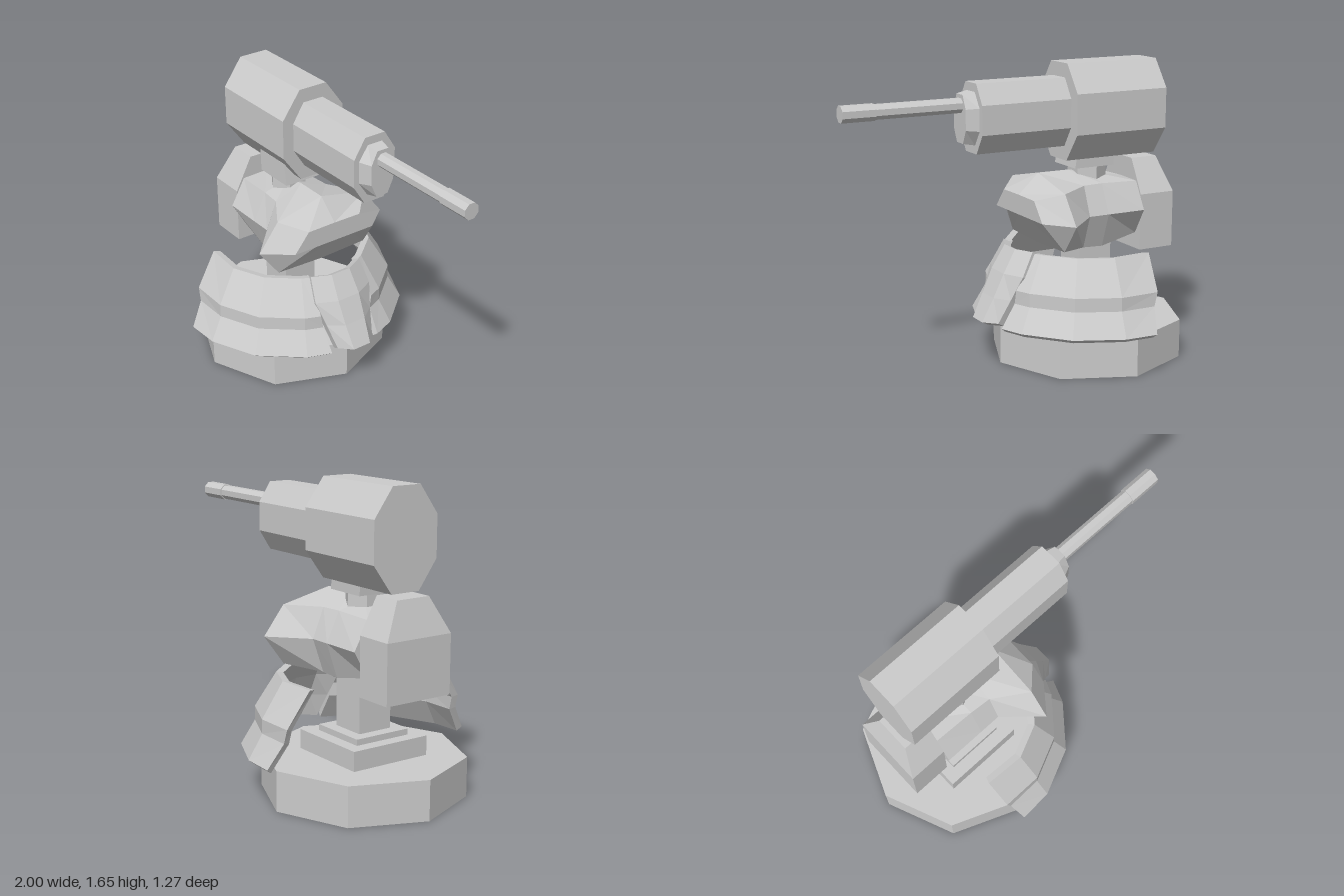
import * as THREE from 'three';

const material = new THREE.MeshStandardMaterial({ color: 0xcccccc, flatShading: true });

// Closed solid through a list of equal-length rings of [x, y, z], facing outwards.
function loft(rings) {
  const tris = [];
  const quad = (a, b, c, d) => tris.push([a, b, c], [a, c, d]);
  const n = rings[0].length;
  for (let r = 0; r < rings.length - 1; r++) {
    for (let i = 0; i < n; i++) {
      const j = (i + 1) % n;
      quad(rings[r][i], rings[r][j], rings[r + 1][j], rings[r + 1][i]);
    }
  }
  // caps are stitched across the ring, so thin bent sections work too
  const cap = (p, flip) => {
    for (let i = 0; i < n / 2 - 1; i++) {
      const q = [p[i], p[i + 1], p[n - 2 - i], p[n - 1 - i]];
      quad(...(flip ? q.reverse() : q));
    }
  };
  cap(rings[0], true);
  cap(rings[rings.length - 1], false);
  const v = (p) => new THREE.Vector3(...p);
  const volume = tris.reduce((s, [a, b, c]) => s + v(a).dot(v(b).cross(v(c))), 0);
  if (volume < 0) tris.forEach((t) => t.reverse());
  const geometry = new THREE.BufferGeometry();
  geometry.setAttribute('position', new THREE.Float32BufferAttribute(tris.flat(2), 3));
  geometry.computeVertexNormals();
  return geometry;
}

// Eight-sided section across x: half sizes (hz, hy), half flats (fz, fy).
function octagon(x, hz, hy, fz, fy, cy = 1.388, cz = -0.03) {
  return [[fz, hy], [hz, fy], [hz, -fy], [fz, -hy], [-fz, -hy], [-hz, -fy], [-hz, fy], [-fz, hy]]
    .map(([z, y]) => [x, cy + y, cz + z]);
}

// Rectangle at height y
const rect = (y, x0, x1, z0, z1 = z0) => [[x0, y, z0], [x1, y, z1], [x1, y, -z1], [x0, y, -z0]];

export function createModel() {
  const group = new THREE.Group();
  const cx = -0.455;
  const add = (name, geometry, x = 0, y = 0, z = 0) => {
    const mesh = new THREE.Mesh(geometry, material);
    mesh.name = name;
    mesh.position.set(x, y, z);
    group.add(mesh);
    return mesh;
  };

  // Octagonal foot, two square steps and the column
  add('base', new THREE.CylinderGeometry(0.545, 0.545, 0.215, 8), cx, 0.1075);
  add('lowerStep', new THREE.BoxGeometry(0.47, 0.105, 0.47), cx, 0.2675);
  add('upperStep', new THREE.BoxGeometry(0.33, 0.035, 0.33), cx, 0.335);
  add('column', new THREE.BoxGeometry(0.2, 0.35, 0.2), cx, 0.52);

  // Curved side skirts: profile [radius, height] swept around the column
  const outer = [[0.452, 0.646], [0.566, 0.459], [0.566, 0.384], [0.64, 0.253]];
  const inner = [[0.612, 0.231], [0.53, 0.375], [0.53, 0.45], [0.415, 0.64]];
  const columns = [[107, 94.6], [78.4, 78.4], [53, 53], [27, 27], [21, 14]]; // top, bottom angle
  for (const side of [1, -1]) {
    const rings = columns.map(([top, bottom]) => [...outer, ...inner].map(([r, y]) => {
      const a = THREE.MathUtils.degToRad(bottom + (top - bottom) * (y - 0.231) / 0.415);
      return [cx + r * Math.cos(a), y, side * r * Math.sin(a)];
    }));
    add(side > 0 ? 'leftSkirt' : 'rightSkirt', loft(rings));
  }

  // Front skirt plate: rows of [y, centre x, centre half width, edge x, edge half width]
  const rows = [
    [0.657, 0.03, 0.06, -0.02, 0.165],
    [0.53, 0.105, 0.07, 0.05, 0.185],
    [0.4, 0.165, 0.065, 0.105, 0.15],
    [0.27, 0.23, 0.055, 0.165, 0.12],
  ];
  add('frontSkirt', loft(rows.map(([y, xc, zc, xe, ze]) => {
    const front = [[xe, y, ze], [xc, y, zc], [xc, y, -zc], [xe, y, -ze]];
    const back = front.map(([x, h, z]) => [x - 0.04, h - 0.02, z * 0.97]).reverse();
    return [...front, ...back];
  })));

  // Faceted body: [x, top y, upper z, upper y, middle z, lower z, lower y, bottom y]
  const sections = [
    [-0.685, 0.985, 0.15, 0.98, 0.235, 0.15, 0.685, 0.68],
    [-0.455, 1.03, 0.16, 0.99, 0.235, 0.17, 0.64, 0.635],
    [-0.335, 1.05, 0.17, 0.99, 0.235, 0.17, 0.645, 0.635],
    [-0.145, 1.05, 0.29, 0.985, 0.41, 0.29, 0.67, 0.66],
    [-0.025, 0.94, 0.17, 0.938, 0.26, 0.13, 0.83, 0.83],
  ];
  add('body', loft(sections.map(([x, yt, zu, yu, zm, zl, yl, yb]) => [
    [x, yt, 0], [x, yu, zu], [x, 0.83, zm], [x, yl, zl],
    [x, yb, 0], [x, yl, -zl], [x, 0.83, -zm], [x, yu, -zu],
  ])));

  // Back pack with a tapered top
  add('backPack', loft([
    rect(0.595, -0.9, -0.685, 0.2),
    rect(0.91, -0.9, -0.685, 0.2),
    rect(1.1, -0.845, -0.685, 0.1),
  ]));

  // Hexagonal neck and gun mount
  add('neck', new THREE.CylinderGeometry(0.105, 0.105, 0.09, 6), cx, 1.04);
  add('gunMount', loft([rect(1.075, -0.56, -0.315, 0.11), rect(1.2, -0.565, -0.335, 0.11)]));

  // Gun housing in three stepped octagonal stages
  add('gunHousing', loft([-0.82, -0.255].map((x) => octagon(x, 0.195, 0.262, 0.085, 0.11))));
  add('gunSleeve', loft([-0.255, 0.275].map((x) => octagon(x, 0.13, 0.185, 0.062, 0.078))));
  add('gunCollar', loft([
    octagon(0.275, 0.1, 0.14, 0.045, 0.06),
    octagon(0.34, 0.07, 0.128, 0.035, 0.055),
  ]));

  // Barrel and muzzle
  const tube = (name, r, x0, x1) => {
    const geometry = new THREE.CylinderGeometry(r, r, x1 - x0, 8);
    geometry.rotateY(Math.PI / 8).rotateZ(-Math.PI / 2);
    add(name, geometry, (x0 + x1) / 2, 1.458, -0.033);
  };
  tube('barrel', 0.041, 0.34, 0.82);
  tube('muzzle', 0.046, 0.82, 1);

  return group;
}
